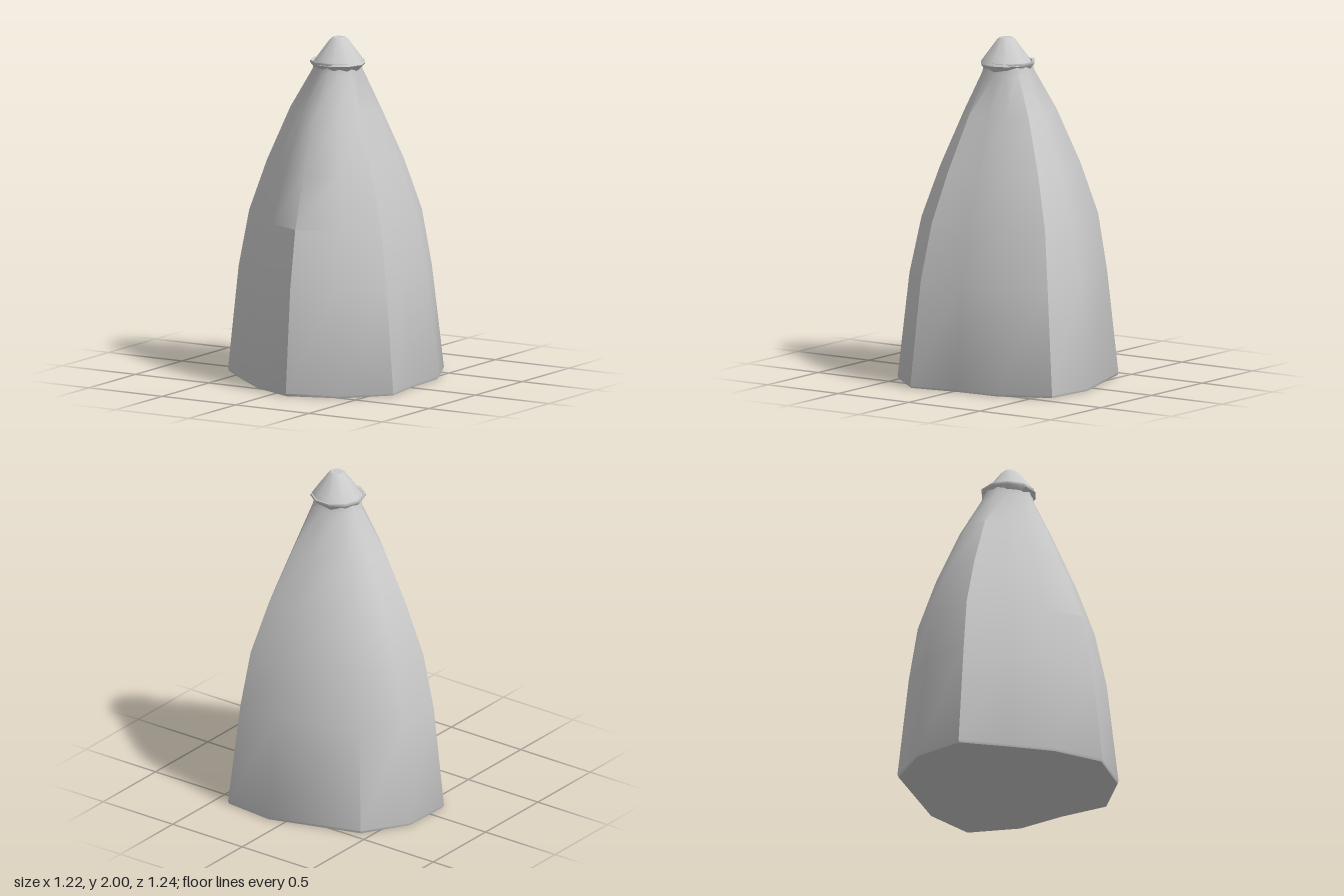
import * as THREE from 'three';
import { toCreasedNormals } from 'three/addons/utils/BufferGeometryUtils.js';

const material = new THREE.MeshStandardMaterial({ color: 0xcccccc, side: THREE.DoubleSide });

// Irregular footprint (x, z), clockwise seen from above
const outline = [
  [0.10, -0.62], [0.41, -0.59], [0.55, -0.31], [0.565, -0.02], [0.61, 0.27], [0.40, 0.51],
  [0.10, 0.62], [-0.18, 0.49], [-0.39, 0.315], [-0.61, 0.12], [-0.60, -0.19], [-0.44, -0.45],
];

// Body sections: height, scale, centre x, centre z, blend towards a circle
const sections = [
  [0, 0.99, 0, 0, 0],
  [0.015, 1, 0, 0, 0],
  [0.62, 0.895, 0, 0, 0],
  [0.95, 0.80, 0, -0.01, 0],
  [1.25, 0.635, 0.005, -0.015, 0],
  [1.57, 0.42, 0.015, -0.018, 0.1],
  [1.80, 0.24, 0.04, -0.02, 0.4],
  [1.85, 0.225, 0.045, -0.02, 0.8],
];

function loftBody() {
  const positions = [], indices = [], n = outline.length;
  for (const [y, scale, cx, cz, blend] of sections) {
    for (const [x, z] of outline) {
      const k = scale * THREE.MathUtils.lerp(1, 0.62 / Math.hypot(x, z), blend);
      positions.push(cx + x * k, y, cz + z * k);
    }
  }
  for (let s = 0; s < sections.length - 1; s++) {
    for (let i = 0; i < n; i++) {
      const a = s * n + i, b = s * n + (i + 1) % n;
      indices.push(a, a + n, b, b, a + n, b + n);
    }
  }
  // Flat ends
  const top = (sections.length - 1) * n, base = positions.length / 3;
  positions.push(0, 0, 0, 0.045, 1.85, -0.02);
  for (let i = 0; i < n; i++) {
    const j = (i + 1) % n;
    indices.push(base, i, j, base + 1, top + j, top + i);
  }
  const geometry = new THREE.BufferGeometry();
  geometry.setAttribute('position', new THREE.Float32BufferAttribute(positions, 3));
  geometry.setIndex(indices);
  return toCreasedNormals(geometry, 0.76);
}

// Ten-sided turned part
function turned(points, x, z) {
  const geometry = new THREE.LatheGeometry(points.map(([r, y]) => new THREE.Vector2(r, y)), 10);
  geometry.rotateY(Math.PI / 10);
  geometry.translate(x, 0, z);
  return toCreasedNormals(geometry, 0.72);
}

export function createModel() {
  const group = new THREE.Group();
  const add = (name, geometry) => {
    const mesh = new THREE.Mesh(geometry, material);
    mesh.name = name;
    group.add(mesh);
  };

  add('body', loftBody());

  // Thin lip around the neck, set slightly off the cap's axis
  add('collar', turned([[0.118, 1.805], [0.135, 1.825], [0.158, 1.855], [0.158, 1.866],
    [0.142, 1.862], [0.13, 1.835]], 0.045, -0.02));

  // Blunt conical tip with a tucked-under rim
  add('tip', turned([[0, 1.81], [0.12, 1.81], [0.154, 1.85], [0.13, 1.885],
    [0.055, 1.985], [0.038, 2], [0, 2]], 0.06, -0.015));

  return group;
}
